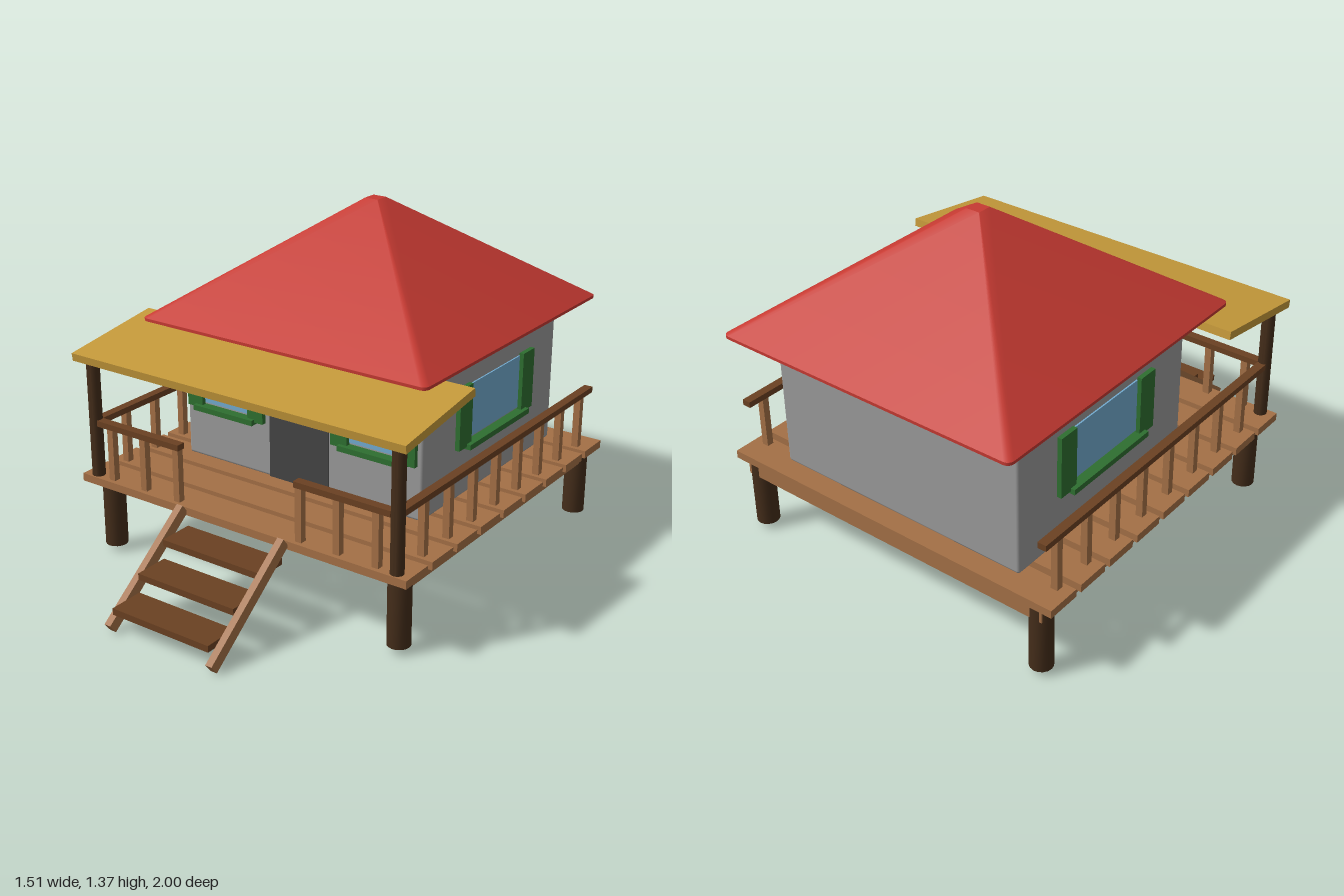
import * as THREE from 'three';
import { toCreasedNormals } from 'three/addons/utils/BufferGeometryUtils.js';
import { RoundedBoxGeometry } from 'three/addons/geometries/RoundedBoxGeometry.js';

const paint = (name, color) => {
  const m = new THREE.MeshStandardMaterial({ color });
  m.name = name;
  return m;
};

export function createModel() {
  const wood = paint('light wood', 0xa47046);
  const railWood = paint('brown wood', 0x6b4122);
  const postWood = paint('dark wood', 0x442d1a);
  const wallGrey = paint('wall grey', 0x9a9a9a);
  const roofRed = paint('roof red', 0xc63a32);
  const strawYellow = paint('awning yellow', 0xc5993a);
  const glassBlue = paint('window blue', 0x72abd0);
  const shutterGreen = paint('shutter green', 0x2e6f30);
  const doorGrey = paint('door grey', 0x444444);

  const model = new THREE.Group();
  model.name = 'stiltHouse';

  const add = (name, geo, mat, x = 0, y = 0, z = 0, parent = model) => {
    const mesh = new THREE.Mesh(geo, mat);
    mesh.name = name;
    mesh.position.set(x, y, z);
    parent.add(mesh);
    return mesh;
  };
  // Box given by its extents on each axis
  const box = (name, mat, [x0, x1], [y0, y1], [z0, z1], parent = model) =>
    add(name, new THREE.BoxGeometry(x1 - x0, y1 - y0, z1 - z0), mat,
      (x0 + x1) / 2, (y0 + y1) / 2, (z0 + z1) / 2, parent);
  const pole = (name, r, y0, y1, x, z) => add(name,
    toCreasedNormals(new THREE.CylinderGeometry(r, r, y1 - y0, 16), 0.6),
    postWood, x, (y0 + y1) / 2, z);

  // Deck planks and the frame below them
  for (let i = 0; i < 9; i++) {
    const z = -0.847 + i * 0.168;
    box('deckPlank', wood, [-0.755, 0.755], [0.308, 0.34], [z - 0.07, z + 0.07]);
  }
  for (const z of [-0.88, 0.425]) box('frameBeam', wood, [-0.705, 0.705], [0.252, 0.308], [z - 0.025, z + 0.025]);
  for (const s of [-1, 1]) {
    box('frameSideBeam', wood, [s * 0.68 - 0.025, s * 0.68 + 0.025], [0.252, 0.308], [-0.855, 0.4]);

    // Stilts and porch posts
    for (const z of [-0.865, 0.48]) pole('stilt', 0.045, 0.027, 0.308, s * 0.675, z);
    pole('porchPost', 0.026, 0.34, 0.83, s * 0.698, 0.536);

    // Side railing
    box('sideRail', railWood, [s * 0.696 - 0.018, s * 0.696 + 0.018], [0.553, 0.577], [-0.892, 0.515]);
    for (let i = 0; i < 8; i++) {
      const z = 0.37 - i * 0.1685;
      box('sideBaluster', wood, [s * 0.696 - 0.014, s * 0.696 + 0.014], [0.34, 0.553], [z - 0.014, z + 0.014]);
    }
    // Front railing
    box('frontRail', railWood, [s * 0.472 - 0.205, s * 0.472 + 0.205], [0.553, 0.577], [0.518, 0.554]);
    for (const x of [0.615, 0.45, 0.285]) {
      box('frontBaluster', wood, [s * x - 0.014, s * x + 0.014], [0.34, 0.553], [0.522, 0.55]);
    }
  }

  // House body and door
  add('walls', new RoundedBoxGeometry(1.11, 0.59, 0.99, 2, 0.012), wallGrey, 0, 0.632, -0.34);
  box('door', doorGrey, [-0.14, 0.14], [0.34, 0.753], [0.153, 0.16]);

  // Window facing +z, built around its own centre at wall level
  const makeWindow = (name, glassHalf, shutterWidth, y0, y1) => {
    const g = new THREE.Group();
    g.name = name;
    box('glass', glassBlue, [-glassHalf, glassHalf], [y0 + 0.02, y1 - 0.011], [-0.003, 0.006], g);
    for (const s of [-1, 1]) {
      const x = s * (glassHalf + shutterWidth / 2);
      box('shutter', shutterGreen, [x - shutterWidth / 2, x + shutterWidth / 2], [y0, y1], [0.004, 0.023], g);
    }
    box('sill', shutterGreen, [-glassHalf - 0.034, glassHalf + 0.034], [y0 - 0.01, y0 + 0.012], [-0.005, 0.04], g);
    model.add(g);
    return g;
  };
  for (const s of [-1, 1]) {
    makeWindow('frontWindow', 0.113, 0.074, 0.558, 0.779).position.set(s * 0.348, 0, 0.155);
    const side = makeWindow('sideWindow', 0.193, 0.088, 0.548, 0.795);
    side.position.set(s * 0.555, 0, -0.346);
    side.rotation.y = s * Math.PI / 2;
  }

  // Hipped roof: one rounded square outline scaled through a few levels
  const outline = [];
  const half = 0.65, r = 0.025, steps = 4;
  for (let c = 0; c < 4; c++) {
    const a0 = c * Math.PI / 2;
    const cx = (half - r) * (c === 0 || c === 3 ? 1 : -1);
    const cz = (half - r) * (c < 2 ? 1 : -1);
    for (let k = 0; k <= steps; k++) {
      const a = a0 + (k / steps) * Math.PI / 2;
      outline.push([cx + r * Math.cos(a), cz + r * Math.sin(a)]);
    }
  }
  const levels = [[0, 0.922], [1, 0.922], [1, 0.934], [0.045, 1.375], [0, 1.375]];
  const n = outline.length, pos = [], index = [];
  for (const [s, y] of levels) for (const [x, z] of outline) pos.push(x * s, y, z * s);
  for (let l = 0; l < levels.length - 1; l++) {
    for (let i = 0; i < n; i++) {
      const a = l * n + i, b = l * n + (i + 1) % n;
      if (l > 0) index.push(a, a + n, b);
      if (l === 0) index.push(a, a + n, b + n);
      else if (l < levels.length - 2) index.push(b, a + n, b + n);
    }
  }
  const roofGeo = new THREE.BufferGeometry();
  roofGeo.setAttribute('position', new THREE.Float32BufferAttribute(pos, 3));
  roofGeo.setIndex(index);
  add('roof', toCreasedNormals(roofGeo, 0.4), roofRed, 0, 0, -0.348);

  // Sloping porch awning
  add('porchRoof', new THREE.BoxGeometry(1.51, 0.032, 0.445), strawYellow, 0, 0.864, 0.366).rotation.x = 0.142;

  // Stairs
  for (const s of [-1, 1]) {
    add('stairStringer', new THREE.BoxGeometry(0.028, 0.046, 0.523), wood, s * 0.236, 0.179, 0.782).rotation.x = 0.655;
  }
  for (let i = 0; i < 3; i++) {
    const z = 0.633 + i * 0.141, y = 0.25 - i * 0.079;
    box('stairTread', railWood, [-0.222, 0.222], [y - 0.013, y + 0.013], [z - 0.071, z + 0.071]);
  }
  return model;
}
